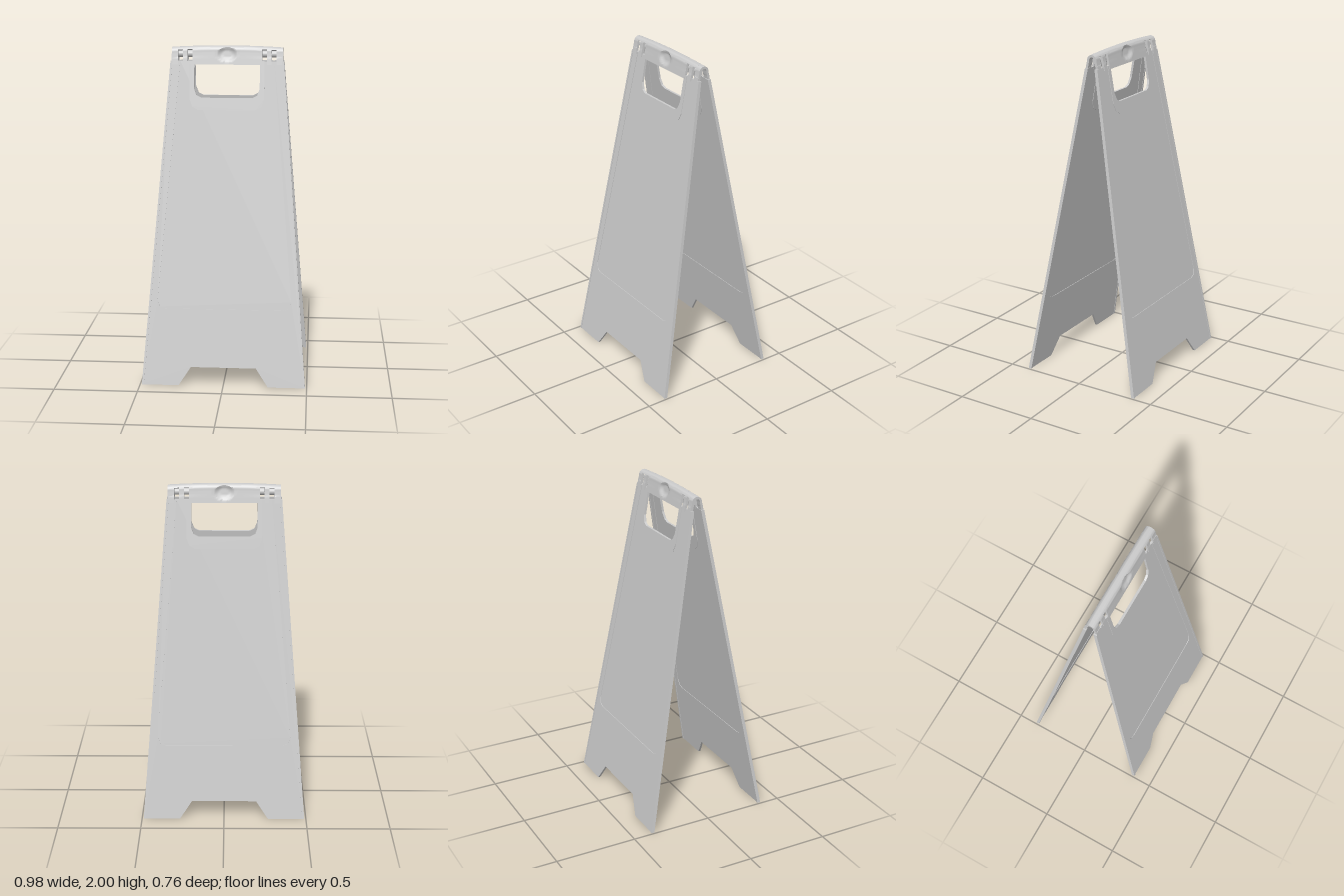
import * as THREE from 'three';
import { toCreasedNormals } from 'three/addons/utils/BufferGeometryUtils.js';

const LEAN = 0.178;      // how far a panel moves in z per unit of height
const FOOT = 0.372;      // z of a panel's middle at the floor
const TOP = 1.91;        // height where the panels meet the cap
const sideX = (y) => 0.49 - 0.08 * y;            // outer edge of a panel
const recessX = (y) => 0.4 - 0.0833 * (y - 0.46); // edge of the recessed field

const material = new THREE.MeshStandardMaterial({ color: 0xcccccc });

function addMesh(parent, name, geometry) {
  const mesh = new THREE.Mesh(geometry, material);
  mesh.name = name;
  parent.add(mesh);
  return mesh;
}

// Closed shape from the right half of an outline, mirrored to the left
function mirroredShape(right) {
  const left = right.map(([x, y]) => [-x, y]).reverse();
  return new THREE.Shape([...right, ...left].map(([x, y]) => new THREE.Vector2(x, y)));
}

// Flat slab with its middle on the leaning plane of a panel
function leaningSlab(shape, thickness, offset = 0) {
  const g = new THREE.ExtrudeGeometry(shape, { depth: thickness, bevelEnabled: false });
  g.translate(0, 0, offset - thickness / 2);
  g.applyMatrix4(new THREE.Matrix4().makeShear(0, 0, 0, -LEAN, 0, 0));
  g.translate(0, 0, FOOT);
  g.computeVertexNormals();
  return g;
}

// Handle opening, and the same outline grown for its collar
const opening = [[0.15, 1.695], [0.18, 1.71], [0.195, 1.75], [0.195, TOP]];
const collarEdge = [[0.17, 1.625], [0.205, 1.645], [0.222, 1.69], [0.222, TOP]];
const recess = [[0.355, 0.455], [0.385, 0.465], [0.4, 0.505], [recessX(TOP), TOP]];

function createPanel() {
  const panel = new THREE.Group();

  // Border with the notched feet, open at the top
  addMesh(panel, 'border', leaningSlab(mirroredShape([
    [0.195, 0.11], [0.268, 0], [sideX(0), 0], [sideX(TOP), TOP],
    ...[...recess].reverse(),
  ]), 0.014));

  // Thinner sign field with the hand opening
  addMesh(panel, 'signField', leaningSlab(mirroredShape([
    ...recess, ...[...opening].reverse(),
  ]), 0.008));

  // Raised collar around the hand opening
  addMesh(panel, 'handleCollar', leaningSlab(mirroredShape([
    ...collarEdge, ...[...opening].reverse(),
  ]), 0.014));

  // Stiffening ribs along both sloping sides
  for (const s of [1, -1]) {
    const corners = [[sideX(0) - 0.012, 0], [sideX(0), 0],
      [sideX(TOP), TOP], [sideX(TOP) - 0.012, TOP]];
    const shape = new THREE.Shape(corners.map(([x, y]) => new THREE.Vector2(s * x, y)));
    addMesh(panel, 'sideRib', leaningSlab(shape, 0.02));
  }
  return panel;
}

// Length of the arched cap between two x positions; legs reach down to y = 1.89
function capSection(x0, x1, startAngle, withLegs, steps) {
  const cy = 1.969, outer = 0.031, inner = 0.017, n = 20;
  const arc = (r) => Array.from({ length: n + 1 }, (_, i) => {
    const a = startAngle + (Math.PI - 2 * startAngle) * i / n;
    return new THREE.Vector2(r * Math.cos(a), cy + r * Math.sin(a));
  });
  const leg = (z) => {
    const points = [];
    for (let i = 0; i < 8; i++) points.push(new THREE.Vector2(
      z + (1 - i / 8) * 0.014, 1.89 + (cy - 1.89) * i / 8));
    return points;
  };
  const flip = (list) => list.map((p) => new THREE.Vector2(-p.x, p.y)).reverse();
  const outline = (r) => withLegs ? [...leg(r), ...arc(r), ...flip(leg(r))] : arc(r);
  const shape = new THREE.Shape([...outline(outer), ...outline(inner).reverse()]);

  const g = new THREE.ExtrudeGeometry(shape, { depth: x1 - x0, steps, bevelEnabled: false });
  g.rotateY(Math.PI / 2);
  g.translate(x0, 0, 0);

  // Thumb dimples at mid length, and a slight fall towards the ends
  const p = g.attributes.position;
  for (let i = 0; i < p.count; i++) {
    const x = p.getX(i), y = p.getY(i), z = p.getZ(i);
    const d = 1 - (x / 0.06) ** 2 - ((y - 1.95) / 0.042) ** 2;
    if (d > 0) p.setZ(i, z - Math.sign(z) * 0.014 * Math.min(1, d * 1.5));
    p.setY(i, y - 0.01 * (x / 0.33) ** 2 * (y > 1.93 ? 1 : 0));
  }
  return toCreasedNormals(g, 0.6);
}

export function createModel() {
  const model = new THREE.Group();
  model.name = 'foldingFloorSign';

  // Two identical leaning panels
  const front = createPanel();
  front.name = 'frontPanel';
  const back = createPanel();
  back.name = 'backPanel';
  back.rotation.y = Math.PI;
  model.add(front, back);

  // Arched cap and grip along the top, with hinge slots near both ends
  const cap = new THREE.Group();
  cap.name = 'topCap';
  model.add(cap);
  addMesh(cap, 'gripBar', capSection(-0.207, 0.207, 0, true, 48));
  const slots = [[0.207, 0.235], [0.263, 0.292]];
  for (const s of [1, -1]) {
    const section = (name, a, b, angle, legs) => addMesh(cap, name,
      capSection(Math.min(s * a, s * b), Math.max(s * a, s * b), angle, legs, 2));
    section('capBridge', 0.235, 0.263, 0, true);
    section('capEnd', 0.292, 0.33, 0, true);
    for (const [a, b] of slots) {
      section('slotRoof', a, b, 0.5, false);
      // Hinge knuckle seen inside the slot
      const knuckle = addMesh(cap, 'hingeKnuckle',
        new THREE.CylinderGeometry(0.02, 0.02, b - a, 16));
      knuckle.rotation.z = Math.PI / 2;
      knuckle.position.set(s * (a + b) / 2, 1.95, 0);
    }
  }
  return model;
}
